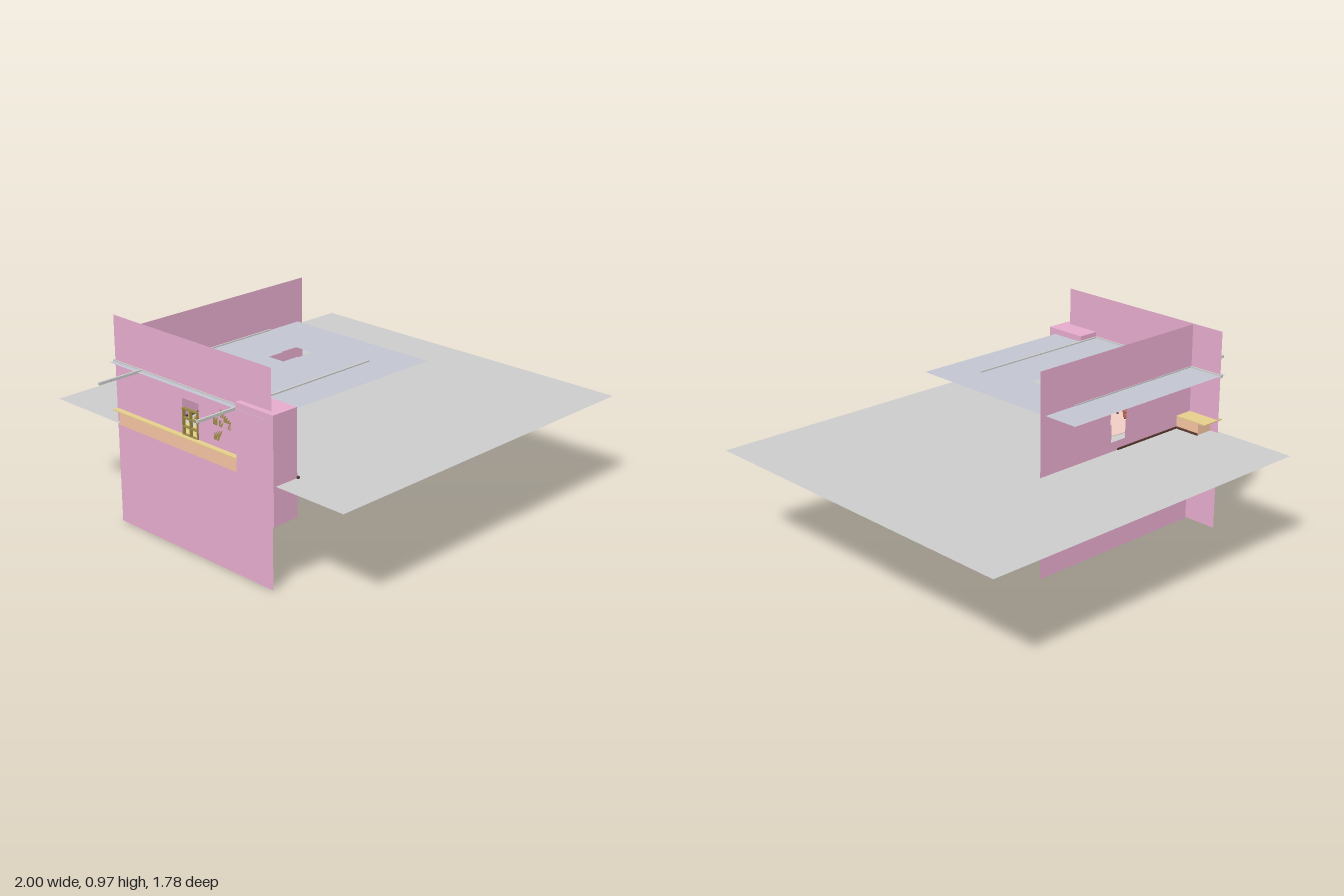
import * as THREE from 'three';

const mat = (color) => new THREE.MeshStandardMaterial({ color, side: THREE.DoubleSide, flatShading: true });
const grey = mat(0xcccccc), pink = mat(0xe5abcc), bluish = mat(0xc2c5d0), rugPink = mat(0xf0cdc4);
const brown = mat(0x5a3a32), orange = mat(0xf4c3a0), yellow = mat(0xe6cf8c);
const red = mat(0xc06a5a), olive = mat(0x9a8a45), gold = mat(0xc99a4a), sage = mat(0xa9b08a);

export function createModel() {
  const root = new THREE.Group();

  const add = (name, geometry, material, x, y, z, parent = root) => {
    const mesh = new THREE.Mesh(geometry, material);
    mesh.name = name;
    mesh.position.set(x, y, z);
    parent.add(mesh);
    return mesh;
  };
  // Box given by its limits on each axis
  const block = (name, material, [x0, x1], [y0, y1], [z0, z1], parent = root) =>
    add(name, new THREE.BoxGeometry(x1 - x0, y1 - y0, z1 - z0), material,
      (x0 + x1) / 2, (y0 + y1) / 2, (z0 + z1) / 2, parent);

  // Square panel with a stepped window opening, shared by walls and ceiling
  const h = 0.484;
  const panel = new THREE.Shape([[-h, -h], [h, -h], [h, h], [-h, h]].map(p => new THREE.Vector2(...p)));
  panel.holes.push(new THREE.Path([
    [-0.045, 0.045], [-0.045, 0.13], [-0.051, 0.13], [-0.051, 0.218],
    [0.051, 0.218], [0.051, 0.13], [0.045, 0.13], [0.045, 0.045],
  ].map(p => new THREE.Vector2(...p))));
  const panelGeo = new THREE.ShapeGeometry(panel);
  add('backWall', panelGeo, pink, -0.286, h, -0.31);
  add('sideWall', panelGeo, pink, -0.77, h + 0.004, 0).rotation.y = Math.PI / 2;
  const ceiling = add('ceiling', panelGeo, bluish, -0.315, 0.762, -0.004);
  ceiling.quaternion.setFromRotationMatrix(new THREE.Matrix4().makeBasis(
    new THREE.Vector3(0, 0, 1), new THREE.Vector3(1, 0, 0), new THREE.Vector3(0, 1, 0)));

  // Ground and round rug
  add('ground', new THREE.PlaneGeometry(1.785, 1.78), grey, 0.107, 0.484, 0).rotation.x = -Math.PI / 2;
  add('rug', new THREE.CylinderGeometry(0.2, 0.2, 0.004, 48), rugPink, -0.445, 0.487, 0.01);

  // Chimney block
  block('chimneyBlock', pink, [-0.797, -0.665], [0.31, 0.79], [0.305, 0.52]);

  // Ceiling mouldings
  for (const z of [-0.308, 0.302]) block('ceilingMoulding', grey, [-1, -0.01], [0.756, 0.768], [z - 0.005, z + 0.005]);
  block('ceilingMoulding', grey, [-0.775, -0.762], [0.756, 0.768], [-0.494, 0.494]);

  // Skirting boards
  block('backSkirting', brown, [-0.77, -0.28], [0.484, 0.493], [-0.315, -0.304]);
  block('sideSkirting', brown, [-0.684, -0.674], [0.484, 0.493], [-0.44, 0.305]);
  block('chimneySkirting', brown, [-0.67, -0.66], [0.484, 0.493], [0.3, 0.53]);

  // Long low cabinet under the window
  block('cabinet', orange, [-0.796, -0.68], [0.485, 0.541], [-0.44, 0.308]);
  block('cabinetTop', yellow, [-0.797, -0.677], [0.541, 0.546], [-0.482, 0.308]);

  // Window frame and glazing bars
  const frame = new THREE.Group();
  frame.name = 'windowFrame';
  root.add(frame);
  const bx = [-0.776, -0.762];
  block('mullion', olive, bx, [0.54, 0.665], [-0.003, 0.003], frame);
  for (const y of [0.545, 0.583, 0.622, 0.663]) block('glazingBar', olive, bx, [y - 0.003, y + 0.003], [-0.048, 0.048], frame);
  for (const s of [-1, 1]) {
    block('windowJamb', olive, bx, [0.54, 0.665], [s * 0.045 - 0.003, s * 0.045 + 0.003], frame);
    add('curtainTie', new THREE.SphereGeometry(0.007, 8, 6), gold, -0.76, 0.635, s * 0.018, frame);
  }

  // Armchairs, mirrored about the window and turned slightly inward
  for (const s of [-1, 1]) {
    const chair = new THREE.Group();
    chair.name = 'armchair';
    chair.position.set(-0.598, 0.489, s * 0.102);
    chair.rotation.y = s * 0.3;
    root.add(chair);
    block('seat', red, [-0.024, 0.03], [0.008, 0.026], [-0.022, 0.022], chair);
    block('backrest', red, [-0.033, -0.016], [0.008, 0.062], [-0.026, 0.026], chair);
    for (const t of [-1, 1]) {
      block('armrest', red, [-0.024, 0.028], [0.008, 0.034], [t * 0.027 - 0.006, t * 0.027 + 0.006], chair);
      const roll = add('armRoll', new THREE.CylinderGeometry(0.008, 0.008, 0.054, 10), red, 0.003, 0.036, t * 0.028, chair);
      roll.rotation.z = Math.PI / 2;
      for (const x of [-0.024, 0.022]) block('chairLeg', brown, [x - 0.003, x + 0.003], [0, 0.009], [t * 0.025 - 0.003, t * 0.025 + 0.003], chair);
    }
  }

  // Small table between the chairs
  add('tableTop', new THREE.CylinderGeometry(0.03, 0.03, 0.004, 20), brown, -0.61, 0.518, 0);
  add('tableLeg', new THREE.CylinderGeometry(0.003, 0.005, 0.03, 8), brown, -0.61, 0.502, 0);

  // Framed pictures: [z, y, width, height]
  for (const [z, y, w, t] of [
    [0.225, 0.685, 0.045, 0.035], [0.185, 0.7, 0.03, 0.035], [0.152, 0.667, 0.028, 0.05],
    [0.228, 0.653, 0.034, 0.026], [0.187, 0.655, 0.024, 0.028], [0.168, 0.6, 0.054, 0.048],
  ]) {
    block('pictureFrame', olive, [-0.77, -0.762], [y - t / 2, y + t / 2], [z - w / 2, z + w / 2]);
    block('picture', sage, [-0.763, -0.761], [y - t * 0.32, y + t * 0.32], [z - w * 0.34, z + w * 0.34]);
  }

  // Wall lamps
  for (const z of [-0.147, -0.236]) {
    add('wallLampShade', new THREE.ConeGeometry(0.008, 0.02, 10), gold, -0.755, 0.684, z);
    add('wallLampBase', new THREE.CylinderGeometry(0.004, 0.002, 0.02, 8), brown, -0.758, 0.667, z);
  }

  // Gramophone and vase on the cabinet
  const vaseProfile = [[0, 0], [0.01, 0], [0.015, 0.016], [0.008, 0.034], [0.012, 0.046]].map(p => new THREE.Vector2(...p));
  add('vase', new THREE.LatheGeometry(vaseProfile, 14), red, -0.73, 0.546, -0.226);
  block('gramophoneBox', brown, [-0.75, -0.71], [0.546, 0.563], [-0.198, -0.155]);
  const hornProfile = [[0.003, 0], [0.006, 0.018], [0.012, 0.03], [0.024, 0.038]].map(p => new THREE.Vector2(...p));
  const horn = add('gramophoneHorn', new THREE.LatheGeometry(hornProfile, 14), olive, -0.74, 0.565, -0.182);
  horn.rotation.z = -0.7;

  // Coat hooks on the back wall
  block('hookRail', brown, [-0.48, -0.43], [0.645, 0.648], [-0.31, -0.304]);
  for (const x of [-0.476, -0.455, -0.434]) {
    const hook = add('coatHook', new THREE.TorusGeometry(0.006, 0.0018, 6, 12, Math.PI), brown, x, 0.638, -0.302);
    hook.rotation.z = Math.PI;
  }
  block('hookStem', brown, [-0.457, -0.453], [0.636, 0.667], [-0.308, -0.304]);

  return root;
}
